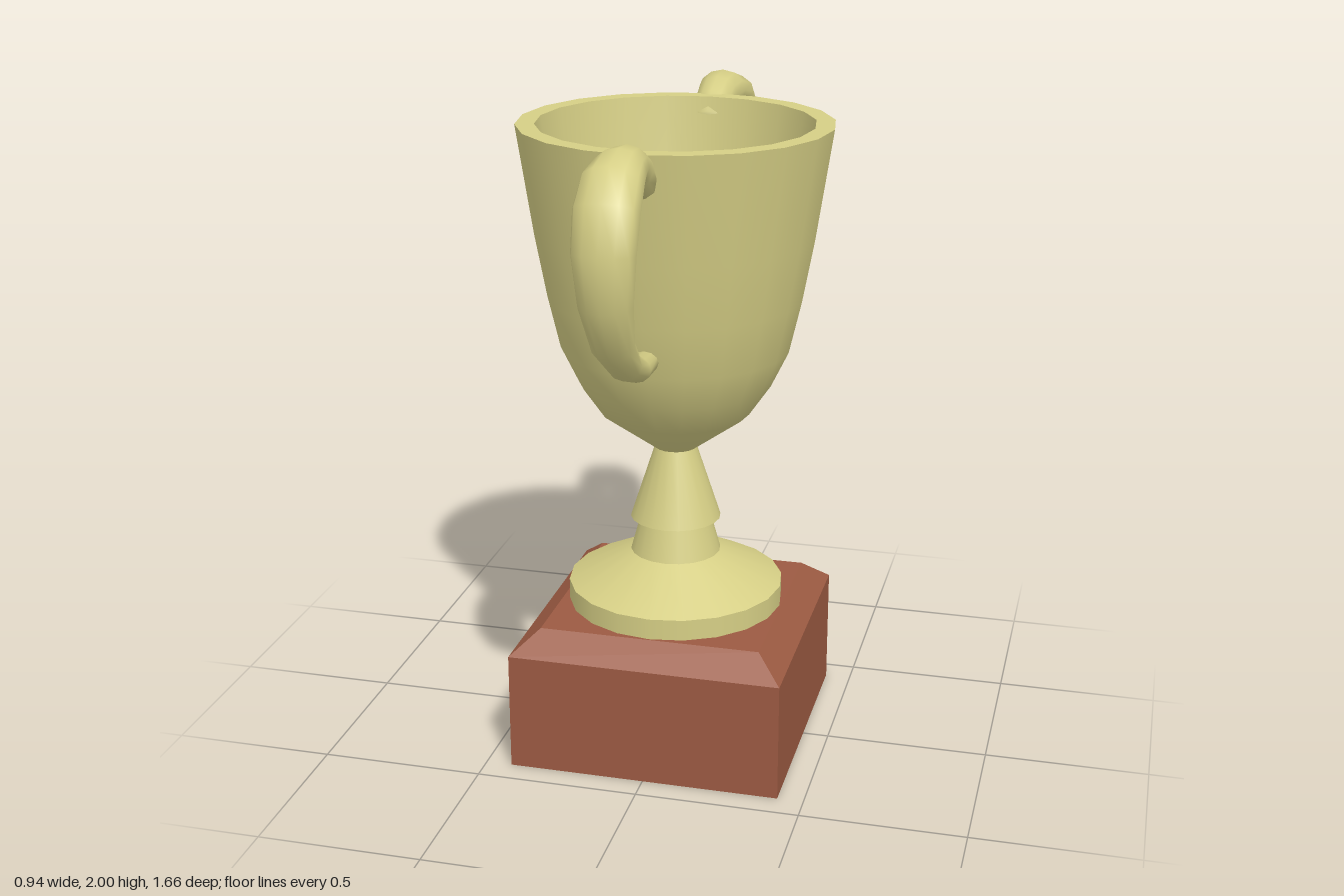
import * as THREE from 'three';

const gold = new THREE.MeshStandardMaterial({ color: 0xd5ce85 });
const goldOpen = new THREE.MeshStandardMaterial({ color: 0xd5ce85, side: THREE.DoubleSide });
const wood = new THREE.MeshStandardMaterial({ color: 0x9c5a42, flatShading: true });

function add(parent, name, geometry, material) {
  const mesh = new THREE.Mesh(geometry, material);
  mesh.name = name;
  parent.add(mesh);
  return mesh;
}

// Each profile is one smooth band; bands meet at hard edges
function turned(name, bands) {
  const group = new THREE.Group();
  group.name = name;
  for (const band of bands) {
    const points = band.map(([r, y]) => new THREE.Vector2(r, y));
    add(group, name + 'Band', new THREE.LatheGeometry(points, 20), goldOpen);
  }
  return group;
}

// Square block with its own bottom and top half-widths
function squareBlock(bottom, top, y0, y1) {
  const g = new THREE.CylinderGeometry(top * Math.SQRT2, bottom * Math.SQRT2, y1 - y0, 4);
  return g.rotateY(Math.PI / 4).translate(0, (y0 + y1) / 2, 0);
}

// Elliptical sections swept along a path in the z-y plane
// Each station: z, y, thickness radius, width radius
function handleGeometry(stations, sides = 12) {
  const pos = [], index = [];
  const last = stations.length - 1;
  stations.forEach(([z, y, r, w], i) => {
    const p = stations[Math.max(i - 1, 0)], n = stations[Math.min(i + 1, last)];
    const t = new THREE.Vector2(n[0] - p[0], n[1] - p[1]).normalize();
    for (let j = 0; j < sides; j++) {
      const a = (j / sides) * Math.PI * 2;
      const s = r * Math.sin(a);
      pos.push(w * Math.cos(a), y + t.x * s, z - t.y * s);
      if (i < last) {
        const k = (j + 1) % sides, a0 = i * sides, b0 = a0 + sides;
        index.push(a0 + j, a0 + k, b0 + j, a0 + k, b0 + k, b0 + j);
      }
    }
  });
  // End caps
  for (let j = 1; j < sides - 1; j++) {
    const e = last * sides;
    index.push(0, j + 1, j, e, e + j, e + j + 1);
  }
  const g = new THREE.BufferGeometry();
  g.setAttribute('position', new THREE.Float32BufferAttribute(pos, 3));
  g.setIndex(index);
  g.computeVertexNormals();
  return g;
}

export function createModel() {
  const model = new THREE.Group();
  model.name = 'trophyCup';

  // Wooden plinth with a bevelled top
  const plinth = new THREE.Group();
  plinth.name = 'plinth';
  add(plinth, 'plinthBlock', squareBlock(0.42, 0.42, 0, 0.37), wood);
  add(plinth, 'plinthBevel', squareBlock(0.42, 0.34, 0.37, 0.44), wood);
  model.add(plinth);

  // Round foot
  model.add(turned('foot', [
    [[0.335, 0.435], [0.335, 0.505]],
    [[0.335, 0.505], [0.14, 0.605]],
  ]));

  // Stem: lower collar and overhanging cone
  model.add(turned('stem', [
    [[0.14, 0.605], [0.108, 0.72]],
    [[0.1, 0.715], [0.14, 0.715]],
    [[0.14, 0.715], [0.065, 0.945]],
  ]));

  // Bowl: outer wall, flat rim, inner wall
  model.add(turned('bowl', [
    [[0.065, 0.945], [0.23, 1.065], [0.295, 1.16], [0.348, 1.27], [0.385, 1.43], [0.42, 1.62], [0.47, 1.95]],
    [[0.47, 1.95], [0.413, 1.95]],
    [[0.413, 1.95], [0.37, 1.62], [0.335, 1.43], [0.3, 1.29], [0.25, 1.19], [0.18, 1.11], [0.09, 1.06], [0, 1.045]],
  ]));

  // Two matching handles, front and back
  const handle = handleGeometry([
    [0.43, 1.865, 0.055, 0.06], [0.485, 1.91, 0.06, 0.06], [0.545, 1.933, 0.061, 0.065],
    [0.61, 1.938, 0.062, 0.076], [0.68, 1.92, 0.061, 0.088], [0.737, 1.86, 0.06, 0.093],
    [0.772, 1.75, 0.06, 0.09], [0.76, 1.61, 0.054, 0.078], [0.69, 1.475, 0.05, 0.062],
    [0.575, 1.385, 0.044, 0.05], [0.45, 1.333, 0.037, 0.042], [0.335, 1.326, 0.033, 0.038],
  ]);
  add(model, 'frontHandle', handle, gold);
  add(model, 'backHandle', handle, gold).rotation.y = Math.PI;

  return model;
}
